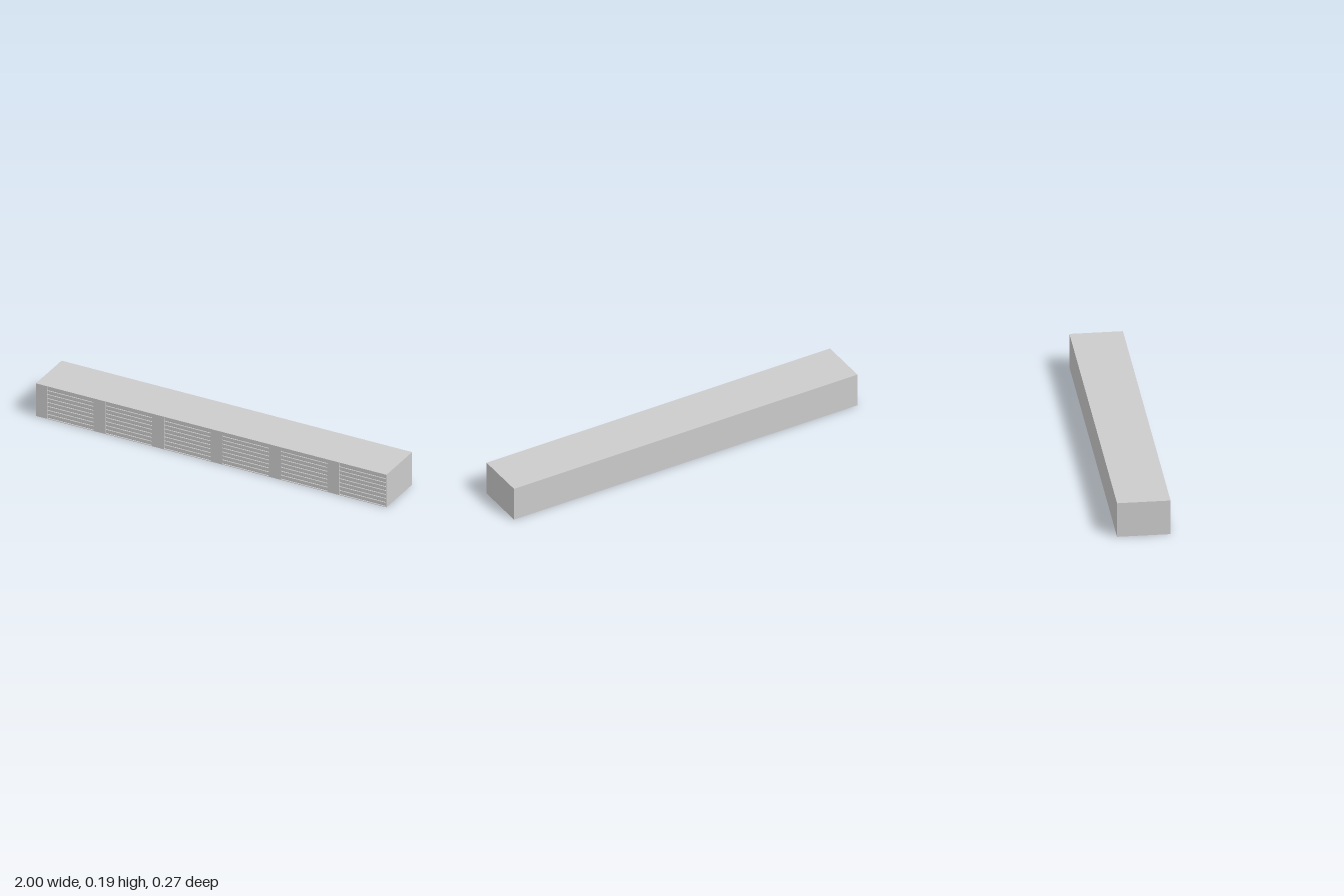
import * as THREE from 'three';

const L = 2, H = 0.186, D = 0.27;
const SLAB = 0.003;   // floor and roof edge thickness
const RECESS = 0.008; // door setback
const BAYS = 6, SLATS = 8;

export function createModel() {
  const group = new THREE.Group();
  const material = new THREE.MeshStandardMaterial({ color: 0xcccccc, flatShading: true });

  const add = (name, geometry, x, y, z) => {
    const mesh = new THREE.Mesh(geometry, material);
    mesh.name = name;
    mesh.position.set(x, y, z);
    group.add(mesh);
  };
  const box = (name, x0, x1, y0, y1, z0, z1) =>
    add(name, new THREE.BoxGeometry(x1 - x0, y1 - y0, z1 - z0),
      (x0 + x1) / 2, (y0 + y1) / 2, (z0 + z1) / 2);

  const front = D / 2, back = -D / 2, doorZ = front - RECESS;

  // Main block between floor and roof slabs
  box('floorSlab', -L / 2, L / 2, 0, SLAB, back, front);
  box('roofSlab', -L / 2, L / 2, H - SLAB, H, back, front);
  box('storageBlock', -L / 2, L / 2, SLAB, H - SLAB, back, doorZ);

  // Ribbed roll-up door: side profile (z, y) extruded across the opening
  const pitch = L / BAYS, post = 0.064, wall = 0.003;
  const doorWidth = pitch - post - wall;
  const slat = (H - 2 * SLAB) / SLATS, rib = 0.004;
  const profile = new THREE.Shape();
  profile.moveTo(-0.002, 0);
  for (let i = 0; i < SLATS; i++) {
    const y = i * slat;
    profile.lineTo(0.001, y);
    profile.lineTo(0.001, y + slat * 0.15);
    profile.lineTo(rib, y + slat * 0.25);
    profile.lineTo(rib, y + slat * 0.9);
    profile.lineTo(0.001, y + slat);
  }
  profile.lineTo(-0.002, SLATS * slat);
  const doorGeometry = new THREE.ExtrudeGeometry(profile, { depth: doorWidth, bevelEnabled: false });
  doorGeometry.rotateY(Math.PI / 2);            // profile x -> -z, depth -> +x
  doorGeometry.rotateY(Math.PI);                // profile x -> +z, depth -> -x
  doorGeometry.translate(doorWidth, 0, 0);

  // Repeating bays: wide post, door, thin jamb
  for (let i = 0; i < BAYS; i++) {
    const x = -L / 2 + i * pitch;
    box('frontPost', x, x + post, SLAB, H - SLAB, doorZ, front);
    box('doorJamb', x + pitch - wall, x + pitch, SLAB, H - SLAB, doorZ, front);
    add('rollUpDoor', doorGeometry, x + post, SLAB, doorZ);
  }
  return group;
}
